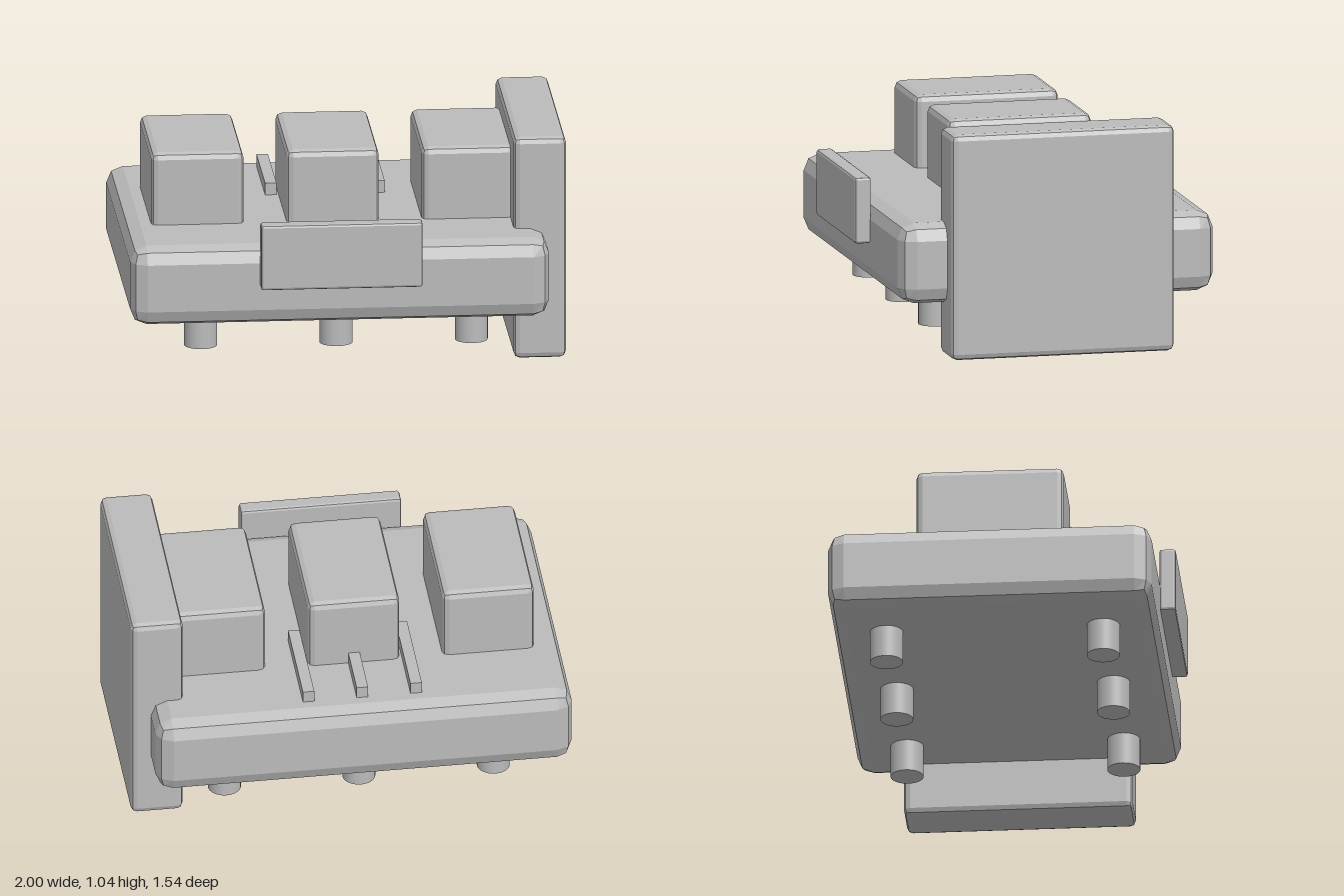
import * as THREE from 'three';
import { RoundedBoxGeometry } from 'three/addons/geometries/RoundedBoxGeometry.js';

export function createModel() {
  const model = new THREE.Group();
  const grey = new THREE.MeshStandardMaterial({ color: 0xbbbbbb });
  grey.name = 'plain grey';

  // Box between two corners; a bevel above zero gives two-step faceted edges
  function box(name, [x0, y0, z0], [x1, y1, z1], bevel = 0) {
    const size = [x1 - x0, y1 - y0, z1 - z0];
    const geometry = bevel
      ? new RoundedBoxGeometry(...size, 1, bevel)
      : new THREE.BoxGeometry(...size);
    if (bevel) geometry.computeVertexNormals(); // flat facets
    const mesh = new THREE.Mesh(geometry, grey);
    mesh.name = name;
    mesh.position.set((x0 + x1) / 2, (y0 + y1) / 2, (z0 + z1) / 2);
    model.add(mesh);
  }

  // Main slab, upright end panel and front plate
  box('base', [-1, 0.25, -0.77], [0.905, 0.62, 0.7], 0.075);
  box('endPanel', [0.757, 0.005, -0.555], [0.995, 1.045, 0.485], 0.028);
  box('frontPlate', [-0.415, 0.435, 0.695], [0.32, 0.74, 0.77], 0.012);

  for (let i = 0; i < 3; i++) {
    // Raised blocks in a row on the slab
    const bx = -0.665 + i * 0.615;
    box('block', [bx - 0.21, 0.59, -0.375], [bx + 0.21, 0.955, 0.295], 0.03);

    // Thin slats behind the blocks
    const sx = -0.295 + i * 0.246;
    box('slat', [sx - 0.026, 0.615, -0.65], [sx + 0.026, 0.675, -0.165]);

    // Round feet, front and back
    for (const z of [0.46, -0.525]) {
      const foot = new THREE.Mesh(new THREE.CylinderGeometry(0.075, 0.075, 0.17, 32), grey);
      foot.name = 'foot';
      foot.position.set(bx, 0.185, z);
      model.add(foot);
    }
  }
  return model;
}
